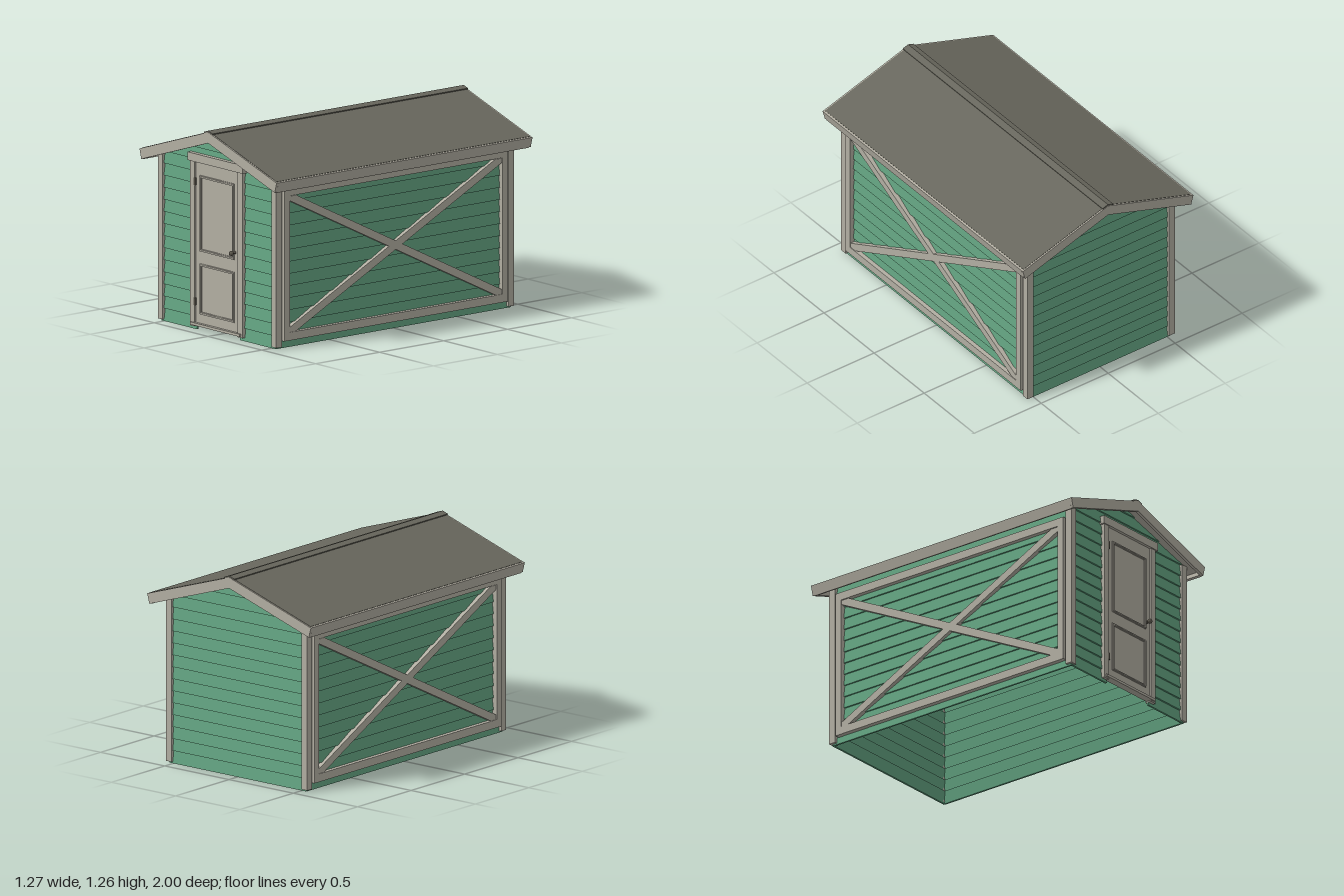
import * as THREE from 'three';

const material = (name, color) => {
  const m = new THREE.MeshStandardMaterial({ color });
  m.name = name;
  return m;
};

const SLOPE = 0.323;   // roof pitch
const STEP = 0.074;    // exposed height of one siding board
const WALL_TOP = 1.215;

export function createModel() {
  const green = material('green siding', 0x62a280);
  const tan = material('tan trim', 0xb2aea2);
  const roofing = material('dark roofing', 0x68675d);
  const metal = material('dark metal', 0x5f5b50);

  const model = new THREE.Group();
  model.name = 'gardenShed';

  const add = (parent, name, geometry, mat, x = 0, y = 0, z = 0) => {
    const mesh = new THREE.Mesh(geometry, mat);
    mesh.name = name;
    mesh.position.set(x, y, z);
    parent.add(mesh);
    return mesh;
  };
  const group = (name, parent = model) => {
    const g = new THREE.Group();
    g.name = name;
    parent.add(g);
    return g;
  };
  // box given by its limits
  const box = (parent, name, mat, x0, x1, y0, y1, z0, z1) =>
    add(parent, name, new THREE.BoxGeometry(x1 - x0, y1 - y0, z1 - z0), mat,
      (x0 + x1) / 2, (y0 + y1) / 2, (z0 + z1) / 2);
  const polygon = (points) => new THREE.Shape(points.map(([x, y]) => new THREE.Vector2(x, y)));
  const extrude = (shape, depth) =>
    new THREE.ExtrudeGeometry(shape, { depth, bevelEnabled: false });

  // one lapped board: flat outline in xy, leaning inwards towards its top
  const board = (parent, points, zOuter) => {
    const geo = extrude(polygon(points), 0.012);
    const p = geo.attributes.position;
    const base = points[0][1];
    for (let i = 0; i < p.count; i++) {
      p.setZ(i, p.getZ(i) - 0.012 - (p.getY(i) - base) * 0.14);
    }
    geo.computeVertexNormals();
    add(parent, 'sidingBoard', geo, green, 0, 0, zOuter);
  };
  const rectangle = (x0, x1, y0, y1) => [[x0, y0], [x1, y0], [x1, y1], [x0, y1]];

  // gable walls, the front one with a door opening
  const halfWidth = (y) => Math.min(0.53, (WALL_TOP - y) / SLOPE);
  for (const front of [true, false]) {
    const wall = group(front ? 'frontWall' : 'backWall');
    if (!front) wall.rotation.y = Math.PI;
    for (let i = 0; i < 17; i++) {
      const y0 = i ? 0.004 + i * STEP : 0;
      const y1 = Math.min(0.004 + (i + 1) * STEP, WALL_TOP - 0.002);
      const a = halfWidth(y0), b = halfWidth(y1);
      if (front && i < 14) {
        board(wall, rectangle(-0.53, -0.2, y0, y1), 0.92);
        board(wall, rectangle(0.2, 0.53, y0, y1), 0.92);
      } else {
        board(wall, [[-a, y0], [a, y0], [b, y1], [-b, y1]], 0.92);
      }
    }
  }

  // long walls with framed cross bracing
  for (const side of [1, -1]) {
    const wall = group(side > 0 ? 'leftWall' : 'rightWall');
    wall.rotation.y = side * Math.PI / 2;
    for (let i = 0; i < 14; i++) {
      board(wall, rectangle(-0.915, 0.915, i ? 0.004 + i * STEP : 0, 0.004 + (i + 1) * STEP), 0.535);
    }
    const frame = group('braceFrame', wall);
    for (const s of [1, -1]) {
      box(frame, 'frameStile', tan, s * 0.8525 - 0.0225, s * 0.8525 + 0.0225, 0.045, 0.98, 0.525, 0.56);
      const y = 0.5125 + s * 0.4425;
      box(frame, 'frameRail', tan, -0.83, 0.83, y - 0.025, y + 0.025, 0.525, 0.56);
      // diagonal ends are cut to the corners of the frame
      const brace = polygon([
        [-0.83, -0.4415], [-0.83, -0.415], [-0.777, -0.415], [0, -0.0265], [0.777, 0.362],
        [0.83, 0.3885], [0.83, 0.415], [0.777, 0.415], [0, 0.0265], [-0.83, -0.3885],
      ].filter((_, i) => i !== 1 && i !== 2 && i !== 4));
      const mesh = add(frame, 'diagonalBrace', extrude(brace, 0.031), tan, 0, 0.512, 0.525);
      if (s < 0) {
        mesh.rotation.y = Math.PI;
        mesh.position.z = 0.556;
      }
    }
  }

  // L-shaped corner boards
  const corner = polygon([[0.505, 0.93], [0.505, 0.905], [0.525, 0.905],
    [0.525, 0.885], [0.55, 0.885], [0.55, 0.93]]);
  for (const sx of [1, -1]) for (const sz of [1, -1]) {
    const shape = polygon(corner.getPoints().map((p) => [p.x * sx, -p.y * sz]));
    const geo = extrude(shape, 1.025);
    geo.rotateX(-Math.PI / 2);
    add(model, 'cornerTrim', geo, tan, 0, 0.01, 0);
  }

  // roof layers: bent bands following the pitch, with ends cut square
  const roof = group('roof');
  const chevron = (name, mat, top, bottom, xTop, z0, z1) => {
    const xBot = xTop - (top - bottom) * 0.25;
    const yTop = top - SLOPE * xTop, yBot = bottom - SLOPE * xBot;
    const shape = polygon([[0, top], [-xTop, yTop], [-xBot, yBot], [0, bottom], [xBot, yBot], [xTop, yTop]]);
    add(roof, name, extrude(shape, z1 - z0), mat, 0, 0, z0);
  };
  chevron('roofDeck', tan, 1.24, 1.212, 0.62, -0.985, 0.985);
  chevron('roofCovering', roofing, 1.252, 1.24, 0.626, -0.99, 0.99);
  chevron('gableFascia', tan, 1.25, 1.183, 0.637, 0.98, 1);
  chevron('gableFascia', tan, 1.25, 1.183, 0.637, -1, -0.98);
  chevron('ridgeCap', roofing, 1.259, 1.246, 0.04, -0.998, 0.998);
  for (const s of [1, -1]) {
    const eave = polygon([[0.622, 1.049], [0.637, 1.044], [0.62, 0.98], [0.604, 0.985]]
      .map(([x, y]) => [x * s, y]));
    add(roof, 'eaveFascia', extrude(eave, 1.97), tan, 0, 0, -0.985);
  }

  // door and its surround
  const door = group('door');
  box(door, 'doorLeaf', tan, -0.2, 0.2, 0.03, 1.03, 0.9, 0.926);
  for (const s of [1, -1]) {
    box(door, 'doorJamb', tan, s * 0.222 - 0.022, s * 0.222 + 0.022, 0.02, 1.03, 0.895, 0.937);
  }
  box(door, 'doorHeader', tan, -0.257, 0.257, 1.03, 1.08, 0.9, 0.945);
  box(door, 'threshold', tan, -0.23, 0.23, 0.028, 0.044, 0.9, 0.947);
  for (const [y0, y1] of [[0.1, 0.41], [0.485, 0.95]]) {
    // two-step moulding around each panel
    for (const [inset, width, depth] of [[0, 0.015, 0.006], [0.004, 0.007, 0.011]]) {
      const o = 0.16 - inset, n = o - width;
      const ring = polygon(rectangle(-o, o, y0 + inset, y1 - inset));
      ring.holes.push(polygon(rectangle(-n, n, y0 + inset + width, y1 - inset - width)));
      add(door, 'panelMoulding', extrude(ring, depth), tan, 0, 0, 0.926);
    }
  }
  for (const y of [0.172, 0.907]) {
    box(door, 'hinge', metal, -0.207, -0.194, y - 0.023, y + 0.023, 0.92, 0.94);
  }

  // door knob
  const stem = new THREE.CylinderGeometry(0.006, 0.009, 0.03, 16);
  stem.rotateX(Math.PI / 2);
  add(door, 'knobStem', stem, metal, 0.165, 0.53, 0.94);
  add(door, 'doorKnob', new THREE.SphereGeometry(0.015, 20, 14), metal, 0.165, 0.53, 0.957);

  return model;
}
